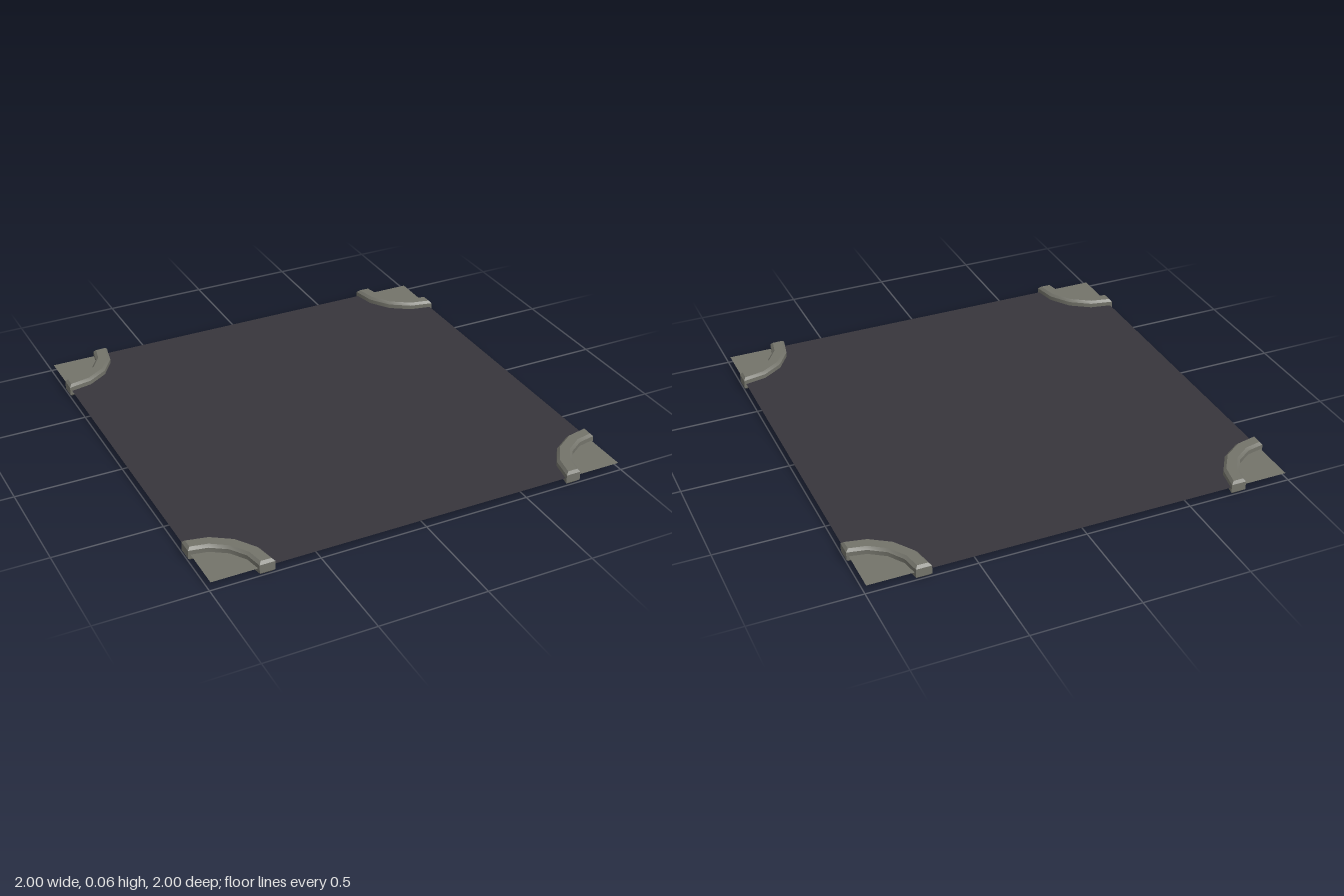
import * as THREE from 'three';
import { toCreasedNormals } from 'three/addons/utils/BufferGeometryUtils.js';

const EDGE = 0.99;        // half width of the flat tile
const HEIGHT = 0.065;     // kerb height
const BEVEL = 0.012;
const STEPS = 4;          // segments per quarter arc

// Quarter arc about the (+,+) corner point (c, c), running from the right edge to the top edge.
function cornerArc(c, r) {
  return Array.from({ length: STEPS + 1 }, (_, i) => {
    const a = Math.PI * (1.5 - 0.5 * i / STEPS);
    return new THREE.Vector2(c + r * Math.cos(a), c + r * Math.sin(a));
  });
}

export function createModel() {
  const group = new THREE.Group();
  const asphalt = new THREE.MeshStandardMaterial({ color: 0x37353c, side: THREE.DoubleSide });
  asphalt.name = 'asphalt';
  const concrete = new THREE.MeshStandardMaterial({ color: 0x73736a, side: THREE.DoubleSide });
  concrete.name = 'concrete';

  const add = (name, geometry, material, turn = 0) => {
    const mesh = new THREE.Mesh(geometry, material);
    mesh.name = name;
    mesh.rotation.y = turn;
    group.add(mesh);
  };

  // Road surface: a flat square with a concave bite at each corner
  const bite = cornerArc(EDGE, 0.25);
  const origin = new THREE.Vector2();
  const outline = [];
  for (let k = 0; k < 4; k++) {
    outline.push(...bite.map(p => p.clone().rotateAround(origin, k * Math.PI / 2)));
  }
  const road = new THREE.ShapeGeometry(new THREE.Shape(outline));
  road.rotateX(-Math.PI / 2).translate(0, HEIGHT / 2, 0);
  add('road', road, asphalt);

  // Pavement: the flat quarter disc filling each bite
  const pavement = new THREE.ShapeGeometry(
    new THREE.Shape([new THREE.Vector2(EDGE, EDGE), ...[...bite].reverse()]));
  pavement.rotateX(-Math.PI / 2).translate(0, HEIGHT / 2, 0);

  // Kerb: a bevelled curved bar, centred in height on the road surface
  const band = new THREE.Shape([...cornerArc(1, 0.222), ...cornerArc(1, 0.293).reverse()]);
  let kerb = new THREE.ExtrudeGeometry(band, {
    depth: HEIGHT - 2 * BEVEL,
    bevelEnabled: true,
    bevelSize: BEVEL,
    bevelThickness: BEVEL,
    bevelOffset: -BEVEL,
    bevelSegments: 1,
  });
  kerb.rotateX(-Math.PI / 2).translate(0, BEVEL, 0);
  kerb = toCreasedNormals(kerb, 0.6);

  ['backLeft', 'backRight', 'frontRight', 'frontLeft'].forEach((corner, k) => {
    add(corner + 'Pavement', pavement, concrete, k * Math.PI / 2);
    add(corner + 'Kerb', kerb, concrete, k * Math.PI / 2);
  });

  return group;
}
